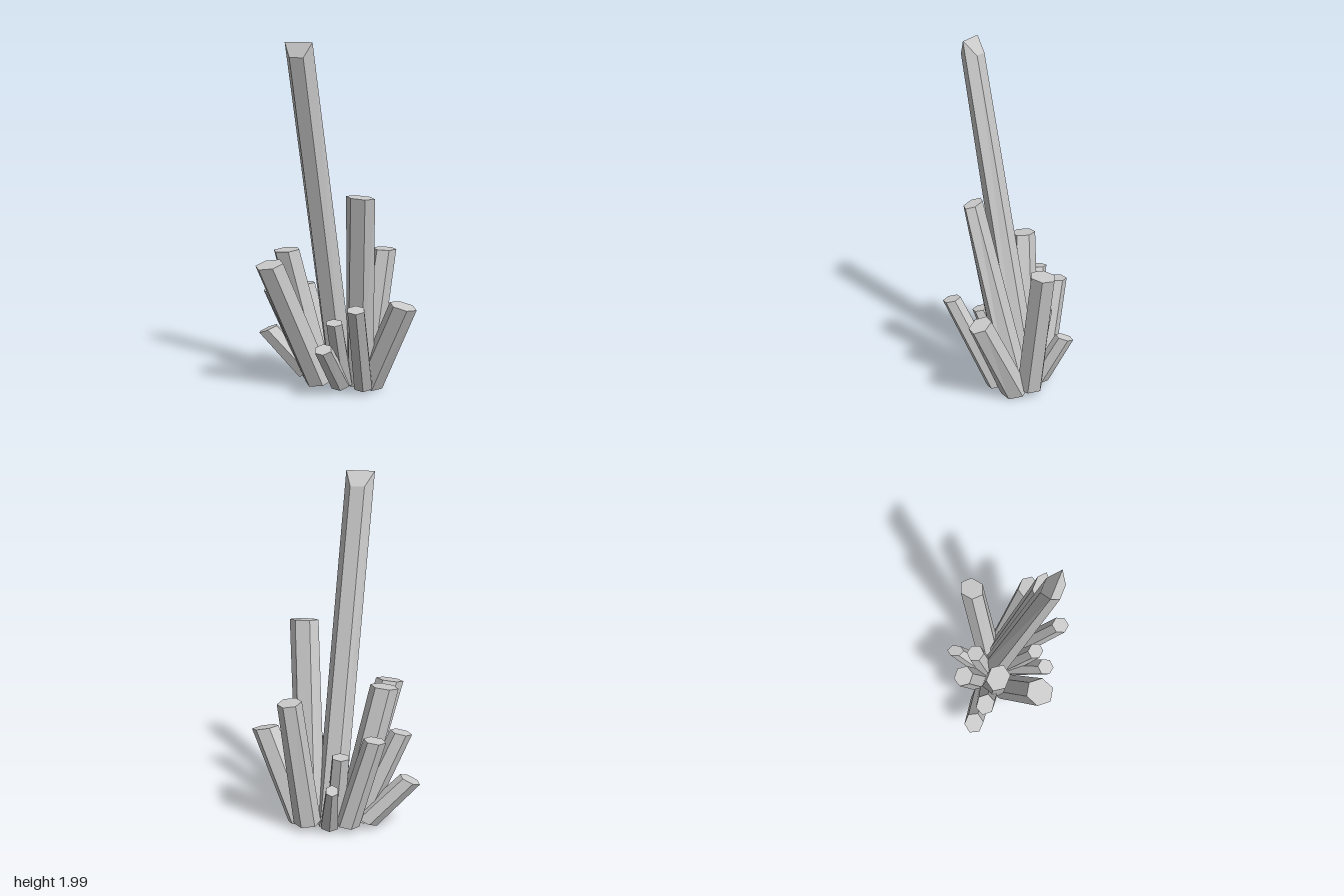
import * as THREE from 'three';

const material = new THREE.MeshStandardMaterial({ color: 0xcccccc, flatShading: true });

// Each shard: base centre, top centre, top half-length, top half-width, turn in degrees, chisel ridge height
const SHARDS = [
  { name: 'tallCrystal', base: [0.015, 0.02, -0.1], top: [-0.077, 1.92, 0.265], r1: 0.082, r2: 0.058, turn: 2, ridge: 0.08 },
  { name: 'secondCrystal', base: [0.13, 0.04, -0.09], top: [0.213, 1.165, 0.127], r1: 0.085, r2: 0.042, turn: 2 },
  { name: 'rightSpreadCrystal', base: [0.18, 0.03, -0.11], top: [0.417, 0.545, -0.01], r1: 0.079, r2: 0.058, turn: 0 },
  { name: 'backRightCrystal', base: [0.13, 0.05, -0.18], top: [0.2, 0.8, -0.288], r1: 0.077, r2: 0.066, turn: 103 },
  { name: 'backShortCrystal', base: [0, 0.04, -0.18], top: [-0.045, 0.315, -0.32], r1: 0.052, r2: 0.037, turn: 78 },
  { name: 'backMiddleCrystal', base: [-0.02, 0.04, -0.12], top: [-0.064, 0.46, -0.178], r1: 0.053, r2: 0.052, turn: 15 },
  { name: 'backLeftCrystal', base: [-0.1, 0.05, -0.16], top: [-0.257, 0.575, -0.18], r1: 0.063, r2: 0.056, turn: 0 },
  { name: 'lowSpreadCrystal', base: [-0.2, 0.06, -0.1], top: [-0.44, 0.31, -0.055], r1: 0.058, r2: 0.058, turn: 6 },
  { name: 'outerSpreadCrystal', base: [-0.15, 0.05, -0.07], top: [-0.376, 0.57, 0], r1: 0.062, r2: 0.055, turn: -5 },
  { name: 'sideCrystal', base: [-0.1, 0.05, -0.05], top: [-0.27, 0.82, 0.045], r1: 0.081, r2: 0.067, turn: 2 },
  { name: 'frontLeaningCrystal', base: [-0.09, 0.05, 0], top: [-0.26, 0.785, 0.292], r1: 0.08, r2: 0.08, turn: -9 },
  { name: 'frontCornerCrystal', base: [0.185, 0.05, 0], top: [0.24, 0.57, 0.257], r1: 0.053, r2: 0.05, turn: 9 },
  { name: 'frontShortCrystal', base: [0.05, 0.05, 0.01], top: [0.04, 0.32, 0.24], r1: 0.052, r2: 0.048, turn: 10 },
  { name: 'frontMiddleCrystal', base: [0.055, 0.05, -0.02], top: [0.072, 0.455, 0.16], r1: 0.052, r2: 0.045, turn: 8 },
];

// Six-sided ring, its plane tipped part of the way towards the lean of the shard
function ring(centre, r1, r2, turn, tiltX, tiltZ) {
  const t = THREE.MathUtils.degToRad(turn);
  return Array.from({ length: 6 }, (_, i) => {
    const u = r1 * Math.cos((i * Math.PI) / 3);
    const v = r2 * Math.sin((i * Math.PI) / 3);
    const x = u * Math.cos(t) - v * Math.sin(t);
    const z = u * Math.sin(t) + v * Math.cos(t);
    return new THREE.Vector3(centre[0] + x, Math.max(0, centre[1] - tiltX * x - tiltZ * z), centre[2] + z);
  });
}

function shardGeometry({ base, top, r1, r2, turn, ridge = 0 }) {
  const height = top[1] - base[1];
  const leanX = (top[0] - base[0]) / height;
  const leanZ = (top[2] - base[2]) / height;
  const tilt = ridge ? 0 : 0.45;
  const foot = r1 * (r1 < 0.07 ? 1.1 : 1);
  const lower = ring(base, foot, foot, turn, leanX * tilt, leanZ * tilt);
  const upper = ring(top, r1, r2, turn, leanX * tilt, leanZ * tilt);

  // Opposite corners rise along the axis to form a chisel tip
  for (const i of [0, 3]) upper[i].add(new THREE.Vector3(leanX * ridge, ridge, leanZ * ridge));

  const index = [];
  for (let i = 0; i < 6; i++) {
    const j = (i + 1) % 6;
    index.push(i, i + 6, j, j, i + 6, j + 6);
  }
  for (let i = 1; i < 5; i++) {
    index.push(0, i, i + 1); // underside
    index.push(6, i + 7, i + 6); // tip
  }
  const indexed = new THREE.BufferGeometry().setFromPoints([...lower, ...upper]);
  indexed.setIndex(index);
  const geometry = indexed.toNonIndexed();
  geometry.computeVertexNormals();
  return geometry;
}

export function createModel() {
  const group = new THREE.Group();
  group.name = 'crystalCluster';
  for (const shard of SHARDS) {
    const mesh = new THREE.Mesh(shardGeometry(shard), material);
    mesh.name = shard.name;
    group.add(mesh);
  }
  return group;
}
